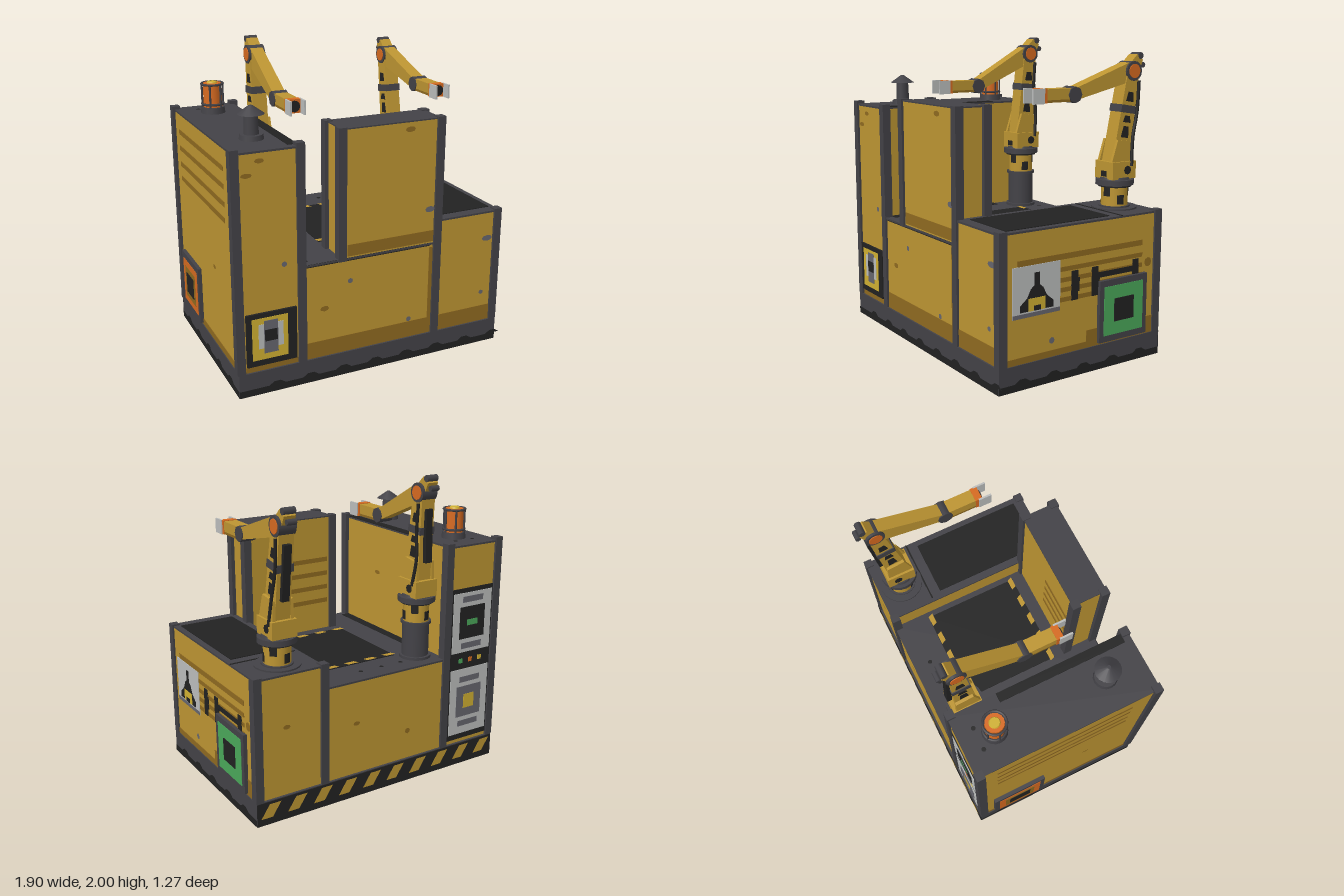
import * as THREE from 'three';

const mat = (name, color) => {
  const m = new THREE.MeshStandardMaterial({ color });
  m.name = name;
  return m;
};

export function createModel() {
  const root = new THREE.Group();
  root.name = 'factoryCell';
  const yellow = mat('yellow paint', 0xbd9532), brown = mat('brown shade', 0x8f6a20);
  const gray = mat('dark gray metal', 0x434247), black = mat('black rubber', 0x222222);
  const steel = mat('mid gray metal', 0x66666e), pale = mat('pale gray', 0xbcbebd);
  const green = mat('green screen', 0x4aa85a), orange = mat('orange lamp', 0xd66a20);
  const bright = mat('bright yellow', 0xd0b032);

  const add = (parent, name, geo, m, x = 0, y = 0, z = 0) => {
    const mesh = new THREE.Mesh(geo, m);
    mesh.name = name;
    mesh.position.set(x, y, z);
    parent.add(mesh);
    return mesh;
  };
  // Box given by its min and max on each axis
  const block = (name, m, [x0, x1], [y0, y1], [z0, z1], parent = root) =>
    add(parent, name, new THREE.BoxGeometry(x1 - x0, y1 - y0, z1 - z0), m, (x0 + x1) / 2, (y0 + y1) / 2, (z0 + z1) / 2);
  const cyl = (parent, name, m, r0, r1, y0, y1, x, z, n = 16) =>
    add(parent, name, new THREE.CylinderGeometry(r1, r0, y1 - y0, n), m, x, (y0 + y1) / 2, z);

  // Painted details: u is x (front, back, top) or z (left, right); v is y, or z on top
  const turn = { front: [0, 0], back: [0, Math.PI], right: [0, Math.PI / 2], left: [0, -Math.PI / 2], top: [-Math.PI / 2, 0] };
  const stick = (face, off, u, v, name, geo, m) => {
    const p = { front: [u, v, off], back: [u, v, -off], right: [off, v, u], left: [-off, v, u], top: [u, off, v] }[face];
    const mesh = add(root, name, geo, m, ...p);
    mesh.rotation.set(...turn[face], 0);
    return mesh;
  };
  const paint = (face, off, name, m, [u0, u1], [v0, v1], t = 0.005) =>
    stick(face, off, (u0 + u1) / 2, (v0 + v1) / 2, name, new THREE.BoxGeometry(u1 - u0, v1 - v0, t), m);
  const poly = (pts) => new THREE.ShapeGeometry(new THREE.Shape(pts.map((p) => new THREE.Vector2(...p))));
  const spot = (face, off, u, v, w, h, m) =>
    stick(face, off, u, v, 'scuff', new THREE.CircleGeometry(0.5, 8).scale(w, h, 1), m);

  // Base plinth with jagged dirt band on three sides
  block('plinth', gray, [-0.92, 0.92], [0.004, 0.155], [-0.6, 0.63]);
  block('plinthUnderside', black, [-0.92, 0.92], [0, 0.004], [-0.6, 0.63]);
  const jagged = (len) => {
    const pts = [[-len / 2, 0], [len / 2, 0], [len / 2, 0.045]];
    for (let x = Math.floor(len / 0.45) * 0.225; x > -len / 2 + 0.05; x -= 0.225)
      pts.push([x + 0.055, 0.045], [x + 0.02, 0.068], [x - 0.02, 0.068], [x - 0.055, 0.045]);
    pts.push([-len / 2, 0.045]);
    return poly(pts);
  };
  stick('front', 0.632, 0, 0, 'plinthBand', jagged(1.84), black);
  for (const f of ['left', 'right']) stick(f, 0.922, 0.015, 0, 'plinthBand', jagged(1.23), black);
  paint('back', 0.601, 'hazardStrip', black, [-0.92, 0.92], [0, 0.15]);
  for (let i = 0; i < 10; i++)
    stick('back', 0.605, -0.83 + i * 0.184, 0.09, 'hazardStripe', poly([[-0.07, -0.045], [0.01, -0.045], [0.07, 0.045], [-0.01, 0.045]]), yellow);

  // Cabinets: yellow bodies with dark lids
  const cabinet = (name, x, top, z) => {
    block(name, yellow, x, [0.155, top - 0.012], z);
    block(name + 'Lid', gray, [x[0], x[1]], [top - 0.012, top], [z[0] - 0.008, z[1] + 0.008]);
  };
  cabinet('tallCabinet', [-0.91, -0.5], 1.54, [-0.585, 0.615]);
  cabinet('middleCabinet', [-0.5, 0.44], 0.79, [-0.585, 0.615]);
  cabinet('sideCabinet', [0.44, 0.91], 0.94, [-0.585, 0.615]);
  block('frontTower', yellow, [-0.235, 0.44], [0.79, 1.6], [0.39, 0.615]);
  block('frontTowerLid', gray, [-0.235, 0.44], [1.6, 1.608], [0.385, 0.62]);

  // Corner posts: x, z, bottom, top
  for (const [x, z, y0, y1] of [
    [-0.902, 0.602, 0.155, 1.56], [-0.5, 0.602, 0.155, 1.56], [-0.902, -0.572, 0.155, 1.56], [-0.5, -0.572, 0.155, 1.56],
    [0.438, 0.602, 0.155, 1.615], [-0.233, 0.602, 0.775, 1.615], [-0.233, 0.402, 0.79, 1.615], [0.438, 0.402, 0.79, 1.615],
    [0.895, 0.602, 0.155, 0.95], [0.895, -0.572, 0.155, 0.95], [0.438, -0.572, 0.155, 0.95],
  ]) block('cornerPost', gray, [x - 0.027, x + 0.027], [y0, y1], [z - 0.028, z + 0.028]);

  // Deck with hazard edges, and dark top plates
  paint('top', 0.793, 'deck', black, [-0.25, 0.4], [-0.35, 0.305]);
  for (const z of [-0.333, 0.287])
    for (let i = 0; i < 5; i++)
      stick('top', 0.798, -0.22 + i * 0.148, z, 'deckHazard', poly([[-0.03, -0.017], [0.045, -0.017], [0.03, 0.017], [-0.045, 0.017]]), yellow);
  paint('top', 0.942, 'sideTopPlate', black, [0.49, 0.87], [-0.21, 0.55]);
  paint('top', 0.941, 'sideTopSeam', black, [0.465, 0.91], [-0.285, -0.275]);
  paint('top', 1.541, 'tallTopShade', black, [-0.56, -0.5], [-0.27, 0.575]);
  paint('top', 0.791, 'middleTopShade', black, [-0.5, -0.44], [-0.27, 0.57]);
  for (const [x, y] of [[-0.63, 1.543], [-0.77, 1.543], [-0.21, 0.793], [-0.06, 0.793], [0.1, 0.793]]) spot('top', y, x, -0.48, 0.03, 0.03, black);

  // Worn lower bands
  paint('front', 0.616, 'shadeBand', brown, [-0.47, 0.385], [0.155, 0.265]);
  paint('front', 0.616, 'shadeEdge', brown, [0.385, 0.41], [0.155, 0.76]);
  paint('front', 0.616, 'shadeBand', brown, [0.465, 0.87], [0.155, 0.265]);
  paint('front', 0.616, 'shadeBand', brown, [-0.87, -0.53], [0.155, 0.19]);
  paint('front', 0.616, 'towerShade', brown, [-0.195, 0.41], [0.8, 0.875]);
  paint('front', 0.618, 'towerSeam', black, [-0.47, 0.385], [0.772, 0.79]);
  paint('right', 0.911, 'shadeBand', brown, [-0.545, -0.01], [0.155, 0.265]);
  paint('right', 0.911, 'shadeBand', brown, [-0.01, 0.575], [0.155, 0.195]);
  paint('left', 0.911, 'shadeBand', brown, [-0.545, 0.575], [0.155, 0.2]);

  // Louvre slots on the sides and tower back
  paint('right', 0.911, 'louvre', brown, [-0.45, 0.5], [0.735, 0.77]);
  for (const y of [0.675, 0.61, 0.55, 0.49]) paint('right', 0.911, 'louvre', brown, [-0.45, 0.2], [y - 0.014, y + 0.014]);
  for (const y of [1.09, 1.19, 1.3, 1.41]) paint('left', 0.911, 'louvre', brown, [-0.46, 0.45], [y - 0.016, y + 0.016]);
  for (const y of [1.0, 1.1, 1.2, 1.3]) paint('back', -0.389, 'louvre', brown, [-0.19, 0.1], [y - 0.016, y + 0.016]);
  for (const [z, y0, y1] of [[0.08, 0.475, 0.655], [-0.075, 0.475, 0.655], [-0.4, 0.56, 0.655]]) {
    paint('right', 0.914, 'louvreClamp', black, [z - 0.018, z + 0.03], [y0, y1]);
    paint('right', 0.914, 'louvreClamp', black, [z - 0.03, z + 0.018], [y0 + 0.05, y1 - 0.045]);
  }
  paint('right', 0.913, 'louvreBar', black, [-0.4, -0.09], [0.58, 0.615]);

  // Warning sign on the right side
  paint('right', 0.914, 'signPlate', pale, [0.195, 0.535], [0.43, 0.735]);
  paint('right', 0.915, 'signEdge', steel, [0.195, 0.535], [0.43, 0.455]);
  stick('right', 0.919, 0.365, 0.465, 'signSymbol', poly([[-0.12, 0], [0.12, 0], [0.12, 0.04], [0.07, 0.08],
    [0.045, 0.13], [0.02, 0.15], [0.02, 0.225], [-0.02, 0.225], [-0.02, 0.15], [-0.045, 0.13], [-0.07, 0.08], [-0.12, 0.04]]), black);
  paint('right', 0.919, 'signCore', bright, [0.305, 0.425], [0.465, 0.54]);
  paint('right', 0.921, 'signCoreNotch', black, [0.34, 0.39], [0.465, 0.495]);

  // Framed screens
  const screen = (face, off, u, v, m, core, inner) => {
    paint(face, off, 'screenFrame', gray, [u - 0.19, u + 0.19], [v - 0.195, v + 0.195], 0.04);
    paint(face, off + 0.02, 'screen', m, [u - 0.157, u + 0.157], [v - 0.155, v + 0.155]);
    if (inner) paint(face, off + 0.022, 'screenInner', inner, [u - 0.11, u + 0.11], [v - 0.11, v + 0.11]);
    paint(face, off + 0.024, 'screenCore', core, [u - 0.078, u + 0.078], [v - 0.073, v + 0.073]);
  };
  screen('right', 0.915, -0.285, 0.365, green, black);
  screen('left', 0.915, -0.3, 0.365, orange, black, brown);
  paint('front', 0.615, 'panelFrame', black, [-0.865, -0.54], [0.195, 0.54], 0.03);
  paint('front', 0.63, 'panelFace', bright, [-0.83, -0.6], [0.235, 0.51]);
  paint('front', 0.632, 'panelRing', pale, [-0.79, -0.63], [0.31, 0.47]);
  paint('front', 0.633, 'panelRing', steel, [-0.755, -0.665], [0.275, 0.49]);
  paint('front', 0.635, 'panelCore', black, [-0.75, -0.67], [0.355, 0.43]);

  // Control boards on the back of the tall cabinet
  paint('back', 0.587, 'controlBack', black, [-0.88, -0.53], [0.18, 1.25]);
  for (const [y0, y1, core] of [[0.81, 1.22, black], [0.22, 0.69, bright]]) {
    const c = (y0 + y1) / 2;
    paint('back', 0.591, 'controlPlate', pale, [-0.865, -0.545], [y0, y1]);
    for (const s of [-1, 1]) paint('back', 0.593, 'controlSlot', steel, [-0.79, -0.62], [c + s * 0.16 - 0.02, c + s * 0.16 + 0.02]);
    paint('back', 0.593, 'controlBezel', core === black ? black : steel, [-0.81, -0.6], [c - 0.11, c + 0.11]);
    paint('back', 0.595, 'controlWindow', core === black ? green : bright, [-0.75, -0.66], core === black ? [c - 0.02, c + 0.02] : [c - 0.05, c + 0.05]);
  }
  [green, orange, bright].forEach((m, i) => paint('back', 0.591, 'indicator', m, [-0.64 - i * 0.08, -0.61 - i * 0.08], [0.735, 0.765]));

  // Paint scuffs
  for (const [f, o, u, v, w, h, m] of [
    ['front', 0.617, -0.75, 1.48, 0.06, 0.03, brown], ['front', 0.617, -0.83, 1.4, 0.07, 0.03, brown], ['front', 0.617, -0.61, 0.825, 0.035, 0.035, steel],
    ['front', 0.617, 0.225, 1.555, 0.07, 0.035, brown], ['front', 0.617, 0.38, 1.02, 0.07, 0.04, steel], ['front', 0.617, -0.175, 0.635, 0.035, 0.035, steel],
    ['front', 0.617, -0.35, 0.48, 0.06, 0.035, brown], ['front', 0.62, 0.245, 0.285, 0.035, 0.035, steel], ['front', 0.617, 0.825, 0.75, 0.08, 0.04, steel],
    ['front', 0.617, 0.8, 0.365, 0.035, 0.03, steel], ['right', 0.912, 0.25, 0.255, 0.04, 0.04, steel], ['right', 0.912, -0.5, 0.62, 0.06, 0.06, brown],
    ['right', -0.499, -0.2, 1.48, 0.07, 0.035, steel], ['right', -0.499, 0.2, 1.2, 0.06, 0.03, brown], ['back', 0.587, 0.2, 0.5, 0.05, 0.03, brown],
    ['back', 0.587, -0.2, 0.35, 0.04, 0.04, brown], ['back', 0.587, 0.7, 0.6, 0.05, 0.03, brown], ['left', 0.912, 0.2, 0.7, 0.05, 0.03, brown],
  ]) spot(f, o, u, v, w, h, m);

  // Vent chimney
  cyl(root, 'ventBase', gray, 0.075, 0.07, 1.54, 1.57, -0.7, 0.36);
  cyl(root, 'ventStem', gray, 0.045, 0.04, 1.57, 1.69, -0.7, 0.36);
  cyl(root, 'ventCap', gray, 0.082, 0.012, 1.69, 1.74, -0.7, 0.36);

  // Caged beacon lamp
  cyl(root, 'beaconBase', gray, 0.08, 0.075, 1.54, 1.58, -0.7, -0.375);
  cyl(root, 'beaconGlass', orange, 0.062, 0.058, 1.58, 1.735, -0.7, -0.375);
  cyl(root, 'beaconTop', bright, 0.035, 0.03, 1.735, 1.745, -0.7, -0.375);
  for (const y of [1.6, 1.73])
    add(root, 'beaconRing', new THREE.TorusGeometry(0.07, 0.008, 6, 20).rotateX(Math.PI / 2), gray, -0.7, y, -0.375);
  for (let i = 0; i < 6; i++) {
    const a = (i + 0.5) * Math.PI / 3;
    cyl(root, 'beaconBar', gray, 0.007, 0.007, 1.58, 1.73, -0.7 + 0.07 * Math.sin(a), -0.375 + 0.07 * Math.cos(a), 6);
  }

  // Robot arm: points a and b are [y, z]; links taper in depth
  const robotArm = (name, x, y0, elbow, wristZ) => {
    const g = new THREE.Group();
    g.name = name;
    g.position.x = x;
    root.add(g);
    const link = (part, m, a, b, w, d0, d1, lx = 0) => {
      const dir = new THREE.Vector3(0, b[0] - a[0], b[1] - a[1]), len = dir.length();
      const geo = new THREE.BoxGeometry(w, len, 1), p = geo.attributes.position;
      for (let i = 0; i < p.count; i++) p.setZ(i, p.getZ(i) * (p.getY(i) < 0 ? d0 : d1));
      geo.computeVertexNormals();
      const mesh = add(g, part, geo, m, lx, (a[0] + b[0]) / 2, (a[1] + b[1]) / 2);
      mesh.quaternion.setFromUnitVectors(new THREE.Vector3(0, 1, 0), dir.normalize());
    };
    const axle = (part, m, r, w, y, z, n = 16) =>
      add(g, part, new THREE.CylinderGeometry(r, r, w, n).rotateZ(Math.PI / 2), m, 0, y, z);
    const zc = -0.425, foot = [y0 + 0.27, zc], wrist = [1.67, wristZ];
    const at = (a, b, t) => [a[0] + (b[0] - a[0]) * t, a[1] + (b[1] - a[1]) * t];

    // Turntable
    cyl(g, 'flange', gray, 0.1, 0.1, y0, y0 + 0.018, 0, zc);
    cyl(g, 'drum', yellow, 0.085, 0.085, y0 + 0.018, y0 + 0.145, 0, zc);
    for (let i = 0; i < 6; i++)
      add(g, 'drumPatch', new THREE.CylinderGeometry(0.088, 0.088, 0.06, 4, 1, true, i * Math.PI / 3, 0.55), black, 0, y0 + (i % 2 ? 0.06 : 0.11), zc);
    cyl(g, 'collarSeal', black, 0.105, 0.105, y0 + 0.138, y0 + 0.15, 0, zc, 20);
    cyl(g, 'collar', gray, 0.122, 0.122, y0 + 0.15, y0 + 0.185, 0, zc, 20);
    cyl(g, 'collarTop', gray, 0.1, 0.095, y0 + 0.185, y0 + 0.2, 0, zc, 20);
    // Shoulder
    block('shoulder', yellow, [-0.085, 0.085], [y0 + 0.19, y0 + 0.3], [zc - 0.1, zc + 0.09], g);
    block('shoulderMark', black, [-0.025, 0.025], [y0 + 0.205, y0 + 0.24], [zc + 0.09, zc + 0.094], g);
    axle('shoulderPin', black, 0.028, 0.176, y0 + 0.245, zc - 0.03, 8);
    for (const s of [-1, 1]) link('shoulderCheek', yellow, [y0 + 0.29, zc], [y0 + 0.43, zc - 0.02], 0.02, 0.17, 0.12, s * 0.06);
    // Upper arm with bands and side panels
    link('upperArm', yellow, foot, elbow, 0.1, 0.14, 0.095);
    link('upperArmBand', gray, at(foot, elbow, 0.56), at(foot, elbow, 0.64), 0.112, 0.125, 0.122);
    for (const [t0, t1] of [[0.3, 0.42], [0.46, 0.53], [0.68, 0.78]])
      link('upperArmPanel', black, at(foot, elbow, t0), at(foot, elbow, t1), 0.106, 0.06, 0.04);
    link('upperArmGuard', black, [foot[0] + 0.15, zc - 0.1], [elbow[0] - 0.1, elbow[1] - 0.045], 0.05, 0.03, 0.03);
    const hose = new THREE.CatmullRomCurve3([[0.088, y0 + 0.27, zc - 0.06], [0.072, y0 + 0.45, zc - 0.08], [0.066, elbow[0] - 0.25, elbow[1] - 0.02],
      [0.066, elbow[0] - 0.06, elbow[1] - 0.03]].map((p) => new THREE.Vector3(...p)));
    add(g, 'hose', new THREE.TubeGeometry(hose, 14, 0.011, 6), black);
    // Elbow
    axle('elbowRing', gray, 0.062, 0.112, ...elbow);
    axle('elbowCap', orange, 0.044, 0.122, ...elbow);
    link('elbowTail', yellow, elbow, [elbow[0] + 0.085, elbow[1] - 0.06], 0.078, 0.1, 0.06);
    axle('tailKnob', gray, 0.022, 0.08, elbow[0] + 0.093, elbow[1] - 0.065, 8);
    axle('tailKnob', gray, 0.018, 0.06, elbow[0] + 0.035, elbow[1] - 0.095, 8);
    // Forearm, wrist and hand
    link('forearm', yellow, elbow, wrist, 0.085, 0.12, 0.07);
    axle('wrist', gray, 0.05, 0.1, ...wrist, 8);
    const h = wristZ + 0.03;
    block('hand', yellow, [-0.043, 0.043], [1.645, 1.71], [h, h + 0.18], g);
    block('handUnderside', brown, [-0.043, 0.043], [1.63, 1.645], [h, h + 0.18], g);
    block('handCollar', orange, [-0.046, 0.046], [1.627, 1.714], [h + 0.18, h + 0.225], g);
    add(g, 'handSocket', new THREE.CylinderGeometry(0.036, 0.036, 0.008, 12).rotateX(Math.PI / 2), black, 0, 1.67, h + 0.228);
    for (const s of [-1, 1]) block('gripper', pale, [s * 0.046 - 0.006, s * 0.046 + 0.006], [1.625, 1.715], [h + 0.2, h + 0.285], g);
  };
  cyl(root, 'armColumn', gray, 0.088, 0.088, 0.79, 1.03, -0.368, -0.425, 20);
  cyl(root, 'armColumnFoot', gray, 0.105, 0.105, 0.79, 0.808, -0.368, -0.425, 20);
  robotArm('leftArm', -0.368, 1.025, [1.885, -0.47], -0.035);
  robotArm('rightArm', 0.667, 0.94, [1.8, -0.52], -0.06);
  cyl(root, 'rightArmPlate', gray, 0.145, 0.145, 0.94, 0.95, 0.667, -0.425, 20);
  return root;
}
